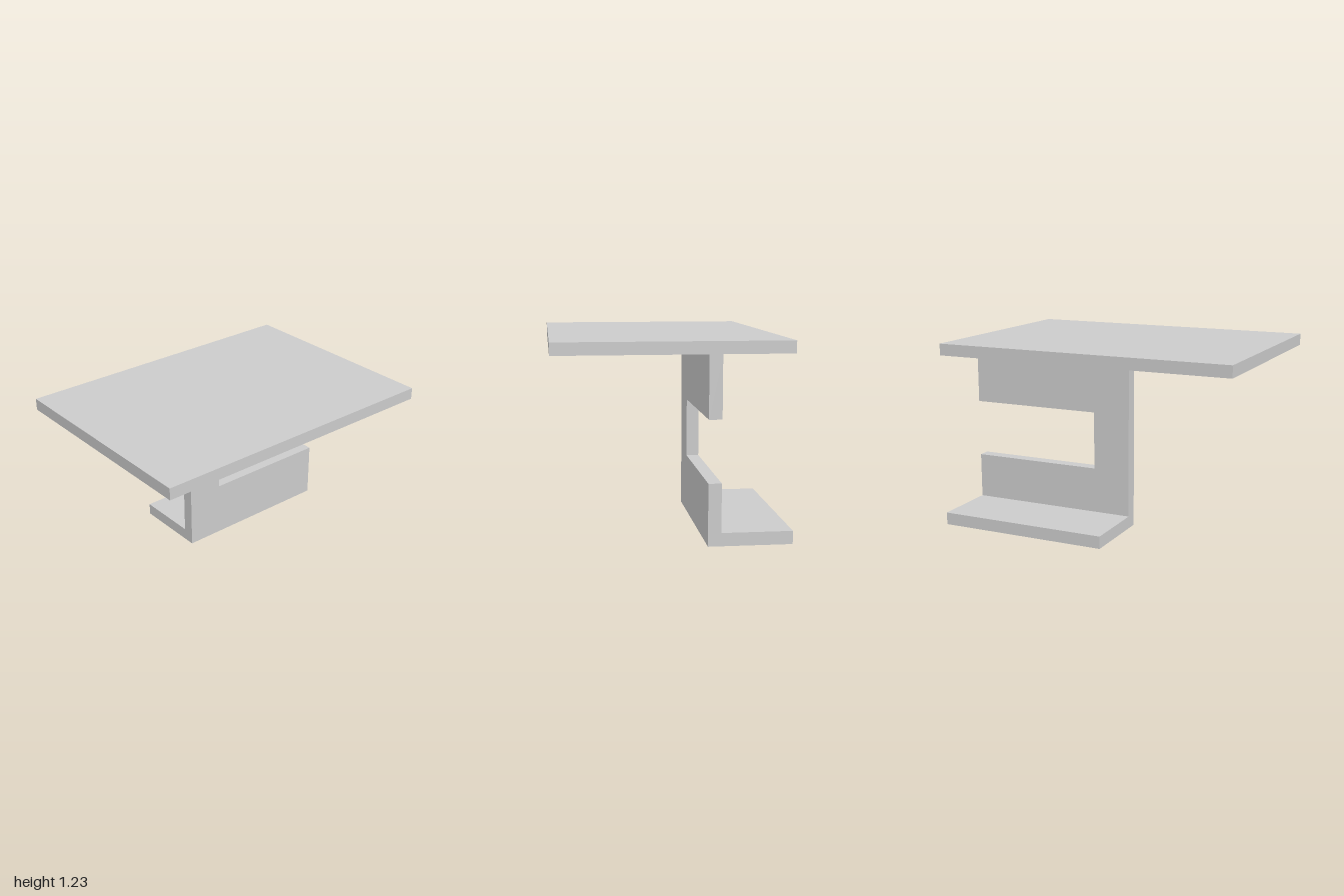
import * as THREE from 'three';

const material = new THREE.MeshStandardMaterial({ color: 0xcccccc, flatShading: true });

// Box given by its minimum and maximum corners
function slab(name, [x0, y0, z0], [x1, y1, z1]) {
  const mesh = new THREE.Mesh(new THREE.BoxGeometry(x1 - x0, y1 - y0, z1 - z0), material);
  mesh.position.set((x0 + x1) / 2, (y0 + y1) / 2, (z0 + z1) / 2);
  mesh.name = name;
  return mesh;
}

export function createModel() {
  const group = new THREE.Group();
  group.name = 'table';

  const halfWidth = 0.723, topBottom = 1.154, height = 1.231;
  const wallLeft = -0.285, wallRight = -0.204, wallFront = 0.15, back = -1;

  // Flat top and short foot plate
  group.add(slab('tableTop', [-halfWidth, topBottom, back], [halfWidth, height, 1]));
  group.add(slab('footPlate', [-halfWidth, 0, back], [wallLeft, 0.082, wallFront]));

  // C-shaped upright, its slot open to the back; profile drawn as (-z, y)
  const profile = new THREE.Shape([
    [-wallFront, 0], [-back, 0], [-back, 0.385], [0.103, 0.385],
    [0.103, 0.769], [-back, 0.769], [-back, topBottom], [-wallFront, topBottom],
  ].map(([x, y]) => new THREE.Vector2(x, y)));
  const upright = new THREE.Mesh(
    new THREE.ExtrudeGeometry(profile, { depth: wallRight - wallLeft, bevelEnabled: false }),
    material,
  );
  upright.rotation.y = Math.PI / 2;
  upright.position.x = wallLeft;
  upright.name = 'upright';
  group.add(upright);

  return group;
}
